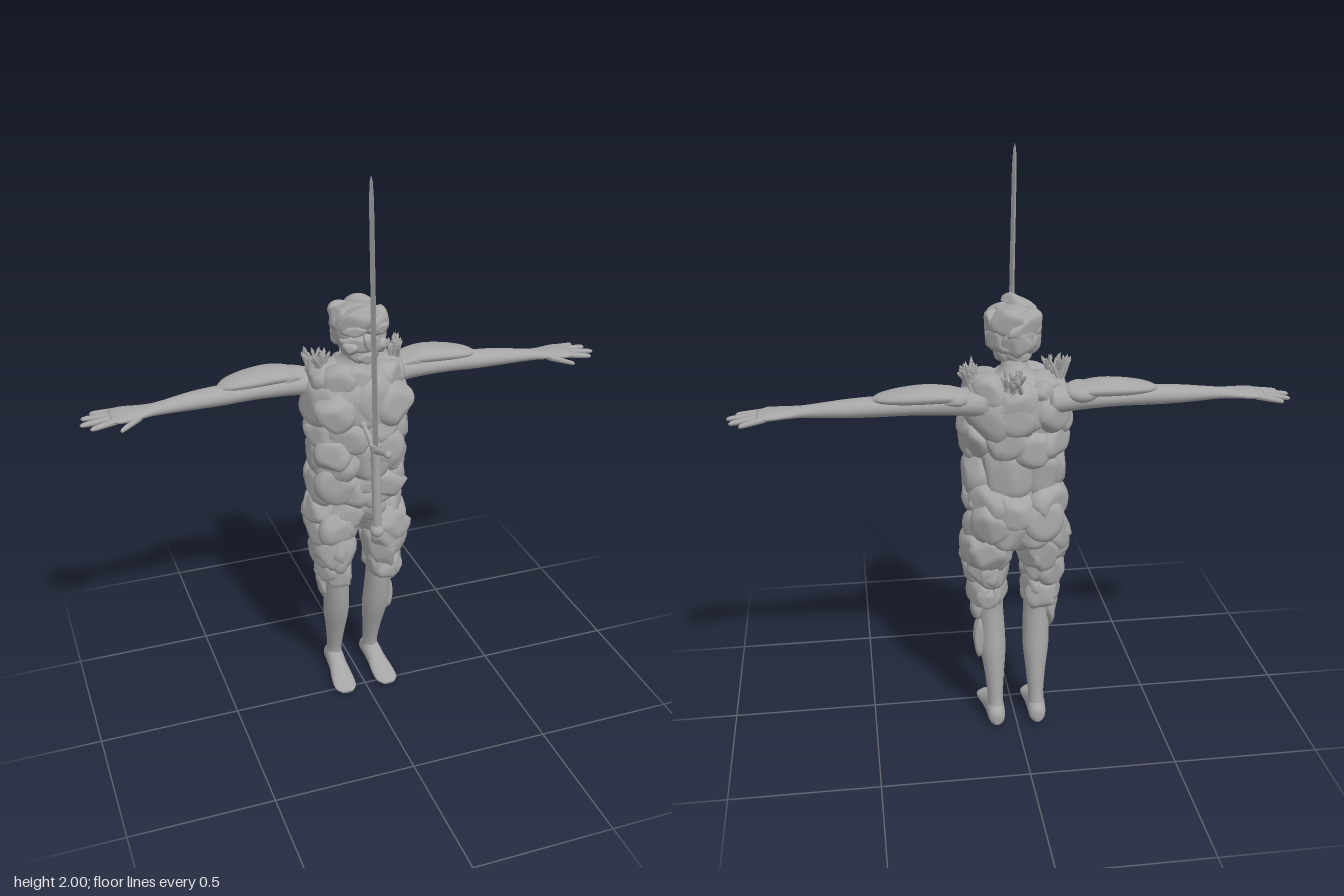
import * as THREE from 'three';
import { mergeVertices } from 'three/addons/utils/BufferGeometryUtils.js';

const stone = new THREE.MeshStandardMaterial({ color: 0xa6a6a6 });
stone.name = 'grey stone';

let seed = 7;
const rnd = (a = 0, b = 1) => {
  seed = (seed * 16807) % 2147483647;
  return a + (b - a) * (seed / 2147483647);
};

function add(parent, geometry, name) {
  const mesh = new THREE.Mesh(geometry, stone);
  mesh.name = name;
  parent.add(mesh);
  return mesh;
}

// Smooth limb through elliptical sections [x, y, z, r1, r2], listed along the rising axis
function loft(parent, name, rows, axis, side = 1, steps = 28, segs = 18) {
  const path = new THREE.CatmullRomCurve3(rows.map(r => new THREE.Vector3(r[0] * side, r[1], r[2])), false, 'catmullrom');
  const size = new THREE.CatmullRomCurve3(rows.map(r => new THREE.Vector3(r[3], r[4], 0)), false, 'catmullrom');
  const pos = [], index = [];
  for (let i = 0; i <= steps; i++) {
    const p = path.getPoint(i / steps), s = size.getPoint(i / steps);
    for (let j = 0; j < segs; j++) {
      const t = j / segs * Math.PI * 2, u = s.x * Math.cos(t), v = s.y * Math.sin(t);
      if (axis === 'x') pos.push(p.x, p.y + u, p.z + v);
      else if (axis === 'y') pos.push(p.x + u, p.y, p.z + v);
      else pos.push(p.x + u, p.y + v, p.z);
    }
  }
  const flip = axis === 'y' || (axis === 'x' && side < 0);
  const tri = (a, b, c) => flip ? index.push(a, c, b) : index.push(a, b, c);
  for (let i = 0; i < steps; i++) for (let j = 0; j < segs; j++) {
    const a = i * segs + j, b = i * segs + (j + 1) % segs;
    tri(a, b, b + segs);
    tri(a, b + segs, a + segs);
  }
  const n = pos.length / 3;
  pos.push(...path.getPoint(0).toArray(), ...path.getPoint(1).toArray());
  for (let j = 0; j < segs; j++) {
    const k = (j + 1) % segs;
    tri(n, k, j);
    tri(n + 1, steps * segs + j, steps * segs + k);
  }
  const g = new THREE.BufferGeometry();
  g.setAttribute('position', new THREE.Float32BufferAttribute(pos, 3));
  g.setIndex(index);
  g.computeVertexNormals();
  return add(parent, g, name);
}

// Boulder: a sphere cut by a slanted outer face and random planes, stretched to its half sizes
function rock(parent, name, x, y, z, rx, ry, rz, turn = 0, tilt = 0) {
  const g0 = new THREE.IcosahedronGeometry(1, 5);
  g0.deleteAttribute('normal');
  g0.deleteAttribute('uv');
  const g = mergeVertices(g0, 1e-4), p = g.attributes.position, v = new THREE.Vector3();
  const cuts = Array.from({ length: 10 }, () => ({
    n: new THREE.Vector3(rnd(-1, 1), rnd(-1, 1), rnd(-0.6, 0.8)).normalize(), h: rnd(0.72, 0.92)
  }));
  cuts.push({ n: new THREE.Vector3(rnd(-0.2, 0.2), rnd(-0.2, 0.2), 1).normalize(), h: 0.76 });
  for (let i = 0; i < p.count; i++) {
    v.fromBufferAttribute(p, i);
    let r = 1;
    for (const c of cuts) {
      const d = v.dot(c.n);
      if (d > 0.01) r = Math.min(r, c.h / d);
    }
    p.setXYZ(i, v.x * r * rx * 1.08, v.y * r * ry * 1.08, v.z * r * rz * 1.08);
  }
  g.computeVertexNormals();
  const m = add(parent, g, name);
  m.position.set(x, y, z);
  m.rotation.set(0, turn, tilt);
}

// Ring of boulders on an ellipse: [y, cx, cz, rx, rz, count, half height, thickness, phase]
function rockRing(parent, name, [y, cx, cz, rx, rz, count, hh, thick, phase]) {
  const width = Math.PI * (rx + rz) / count * 0.62;
  for (let i = 0; i < count; i++) {
    const a = (i + phase + rnd(-0.17, 0.17)) / count * Math.PI * 2;
    const x = cx + (rx - thick) * Math.sin(a), z = cz + (rz - thick) * Math.cos(a);
    const turn = Math.atan2(Math.sin(a) / rx, Math.cos(a) / rz);
    rock(parent, name, x, y + rnd(-0.3, 0.3) * hh, z, width * rnd(0.82, 1.15), hh * rnd(0.88, 1.2), thick * rnd(1.12, 1.3), turn, rnd(-0.5, 0.5));
  }
}

function crystals(parent, x, y, z, leanX, leanZ, count) {
  for (let i = 0; i < count; i++) {
    const h = rnd(0.045, 0.08);
    const g = new THREE.CylinderGeometry(0.005, 0.008, h, 6).translate(0, h / 2, 0);
    const m = add(parent, g, 'crystal');
    m.position.set(x + rnd(-0.025, 0.025), y, z + rnd(-0.025, 0.025));
    const dir = new THREE.Vector3(leanX + rnd(-0.6, 0.6), 1, leanZ + rnd(-0.6, 0.6)).normalize();
    m.quaternion.setFromUnitVectors(new THREE.Vector3(0, 1, 0), dir);
    add(m, new THREE.ConeGeometry(0.007, 0.018, 6), 'crystalTip').position.y = h;
  }
}

function buildSword() {
  const sword = new THREE.Group();
  sword.name = 'sword';
  // blade with a diamond section
  const profile = [[0.0001, 0], [0.022, 0], [0.018, 0.85], [0.011, 0.905], [0.0001, 0.925]].map(p => new THREE.Vector2(...p));
  const diamond = new THREE.LatheGeometry(profile, 4).scale(0.45, 1, 1).toNonIndexed();
  diamond.computeVertexNormals();
  add(sword, diamond, 'blade').position.y = 1.075;
  add(sword, new THREE.CylinderGeometry(0.016, 0.015, 0.3, 16), 'grip').position.y = 0.93;
  add(sword, new THREE.SphereGeometry(0.025, 20, 14), 'pommel').position.y = 0.77;
  add(sword, new THREE.CylinderGeometry(0.02, 0.018, 0.03, 12), 'collar').position.y = 1.085;
  for (const s of [-1, 1]) {
    const arm = new THREE.CylinderGeometry(0.007, 0.014, 0.118, 12);
    const m = add(sword, arm, 'crossguard');
    m.position.set(0, 1.098, 0.06 * s);
    m.rotation.x = s * (Math.PI / 2 - 0.33);
    add(sword, new THREE.SphereGeometry(0.013, 14, 10), 'guardKnob').position.set(0, 1.118, 0.116 * s);
  }
  // the tip leans slightly to one side
  sword.position.set(0, 0, 0.163);
  sword.rotation.z = 0.02;
  return sword;
}

export function createModel() {
  const model = new THREE.Group();
  const part = name => {
    const g = new THREE.Group();
    g.name = name;
    model.add(g);
    return g;
  };

  // Torso under the boulders, then boulder rings from hips to shoulders
  const torso = part('torso');
  loft(torso, 'torsoCore', [[0, 0.68, -0.11, 0.11, 0.07], [0, 0.8, -0.115, 0.145, 0.105], [0, 1, -0.09, 0.15, 0.108], [0, 1.16, -0.1, 0.155, 0.12], [0, 1.26, -0.125, 0.12, 0.08], [0, 1.31, -0.11, 0.05, 0.05], [0, 1.38, -0.08, 0.042, 0.045]], 'y');
  [[0.75, -0.01, -0.115, 0.18, 0.125, 8, 0.065, 0.045, 0.5],
    [0.85, 0, -0.115, 0.175, 0.135, 7, 0.08, 0.045, 0.5],
    [0.97, 0, -0.095, 0.175, 0.135, 7, 0.085, 0.045, 0.1],
    [1.07, 0, -0.1, 0.182, 0.142, 8, 0.065, 0.045, 0.5],
    [1.16, 0, -0.105, 0.185, 0.146, 7, 0.085, 0.045, 0.5],
    [1.24, 0, -0.115, 0.17, 0.13, 8, 0.055, 0.045, 0]
  ].forEach(r => rockRing(torso, 'torsoBoulder', r));
  // large front boulders: x, y, z, half sizes, turn, tilt
  [[0.1, 1.155, -0.01, 0.082, 0.078, 0.06, 0.3, 0.1], [-0.105, 1.15, -0.01, 0.072, 0.07, 0.06, -0.35, -0.1],
    [0.055, 0.995, 0, 0.085, 0.08, 0.055, 0.1, 0.2], [-0.105, 0.99, -0.015, 0.07, 0.075, 0.055, -0.4, 0],
    [0.05, 0.85, -0.025, 0.12, 0.062, 0.055, 0.1, -0.2], [-0.1, 0.87, -0.025, 0.075, 0.075, 0.055, -0.4, 0.2]
  ].forEach(r => rock(torso, 'frontBoulder', ...r));
  rock(torso, 'backBoulder', 0, 1.2, -0.2, 0.1, 0.085, 0.06, Math.PI);
  for (const s of [-1, 1]) {
    rock(torso, 'collarBoulder', 0.09 * s, 1.265, -0.12, 0.06, 0.033, 0.07);
    rock(torso, 'buttockBoulder', 0.08 * s, 0.8, -0.195, 0.075, 0.08, 0.058, Math.PI - 0.2 * s);
  }

  // Head: skull covered in boulders, with brow, nose, cheeks and jaw
  const head = part('head');
  rock(head, 'skull', 0, 1.425, -0.065, 0.085, 0.08, 0.1);
  [[1.465, 0, -0.065, 0.095, 0.108, 6, 0.042, 0.03, 0.5], [1.415, 0, -0.07, 0.09, 0.105, 7, 0.04, 0.025, 0.5],
    [1.362, 0, -0.06, 0.062, 0.085, 6, 0.034, 0.027, 0.5]
  ].forEach(r => rockRing(head, 'headBoulder', r));
  rock(head, 'crown', 0.005, 1.485, -0.065, 0.062, 0.028, 0.07);
  rock(head, 'nose', 0, 1.41, 0.027, 0.017, 0.03, 0.025);
  rock(head, 'jaw', 0, 1.347, 0.002, 0.038, 0.024, 0.036);
  for (const s of [-1, 1]) {
    rock(head, 'brow', 0.04 * s, 1.452, 0.015, 0.042, 0.022, 0.034, 0.3 * s, -0.2 * s);
    rock(head, 'cheek', 0.05 * s, 1.385, 0.002, 0.03, 0.026, 0.034, 0.5 * s);
  }

  for (const s of [-1, 1]) {
    const side = s > 0 ? 'left' : 'right';

    // Arm, hand and shoulder plates
    const arm = part(side + 'Arm');
    loft(arm, 'arm', [[0.1, 1.215, -0.15, 0.055, 0.08], [0.2, 1.217, -0.158, 0.042, 0.062], [0.34, 1.213, -0.155, 0.033, 0.046], [0.46, 1.211, -0.15, 0.033, 0.045], [0.56, 1.208, -0.147, 0.029, 0.042], [0.68, 1.202, -0.138, 0.02, 0.031], [0.74, 1.2, -0.136, 0.016, 0.046], [0.8, 1.198, -0.137, 0.015, 0.06], [0.84, 1.195, -0.14, 0.011, 0.05]], 'x', s, 40);
    const fingers = [[0.81, -0.178, 0.895, -0.21], [0.82, -0.155, 0.928, -0.177], [0.82, -0.13, 0.938, -0.128], [0.81, -0.105, 0.91, -0.088], [0.74, -0.105, 0.82, -0.043]];
    for (const [x0, z0, x1, z1] of fingers) {
      const at = (t, r) => [x0 + (x1 - x0) * t, 1.196 - 0.012 * t, z0 + (z1 - z0) * t, r * 0.75, r];
      loft(arm, 'finger', [at(0, 0.015), at(0.5, 0.013), at(0.9, 0.01), at(1, 0.002)], 'x', s, 10, 10);
    }
    rock(arm, 'shoulderPlate', 0.21 * s, 1.238, -0.165, 0.06, 0.033, 0.065);
    loft(arm, 'upperArmPlate', [[0.17, 1.24, -0.168, 0.004, 0.01], [0.2, 1.247, -0.17, 0.02, 0.05], [0.28, 1.253, -0.172, 0.027, 0.066], [0.37, 1.249, -0.167, 0.024, 0.062], [0.44, 1.243, -0.16, 0.015, 0.042], [0.475, 1.238, -0.155, 0.003, 0.008]], 'x', s);

    // Leg and foot
    const leg = part(side + 'Leg');
    loft(leg, 'leg', [[0.073, 0.05, -0.155, 0.03, 0.042], [0.073, 0.1, -0.148, 0.027, 0.035], [0.074, 0.19, -0.13, 0.035, 0.044], [0.077, 0.28, -0.11, 0.046, 0.056], [0.08, 0.36, -0.095, 0.047, 0.06], [0.085, 0.46, -0.085, 0.048, 0.062], [0.09, 0.6, -0.09, 0.06, 0.077], [0.085, 0.76, -0.11, 0.06, 0.08]], 'y', s);
    loft(leg, 'foot', [[0.073, 0.036, -0.213, 0.012, 0.02], [0.073, 0.038, -0.195, 0.028, 0.034], [0.074, 0.048, -0.15, 0.033, 0.045], [0.077, 0.036, -0.09, 0.035, 0.033], [0.08, 0.022, -0.03, 0.042, 0.02], [0.082, 0.014, 0.015, 0.04, 0.012], [0.082, 0.011, 0.04, 0.022, 0.007]], 'z', s);
    [[0.68, 0.097, -0.1, 0.088, 0.118, 6, 0.06, 0.034, 0],
      [0.59, 0.097, -0.085, 0.077, 0.102, 6, 0.068, 0.03, 0.5],
      [0.5, 0.095, -0.083, 0.066, 0.086, 6, 0.052, 0.025, 0]
    ].forEach(r => rockRing(leg, 'thighBoulder', [r[0], r[1] * s, ...r.slice(2)]));
    rock(leg, 'thighFrontBoulder', 0.09 * s, s > 0 ? 0.65 : 0.59, -0.025, 0.062, 0.09, 0.05, 0.2 * s);
    rock(leg, 'outerCalfBoulder', 0.125 * s, s > 0 ? 0.32 : 0.42, -0.11, 0.02, 0.075, 0.035);
    rock(leg, 'outerKneeBoulder', 0.13 * s, 0.44, -0.1, 0.024, 0.06, 0.04);
  }

  // Crystal clusters around the neck
  const clusters = part('crystalClusters');
  crystals(clusters, -0.14, 1.275, -0.11, -0.1, 0.1, 22);
  crystals(clusters, 0.145, 1.275, -0.13, 0.15, -0.1, 22);
  crystals(clusters, 0.02, 1.265, -0.215, 0, -0.5, 24);

  model.add(buildSword());
  return model;
}
